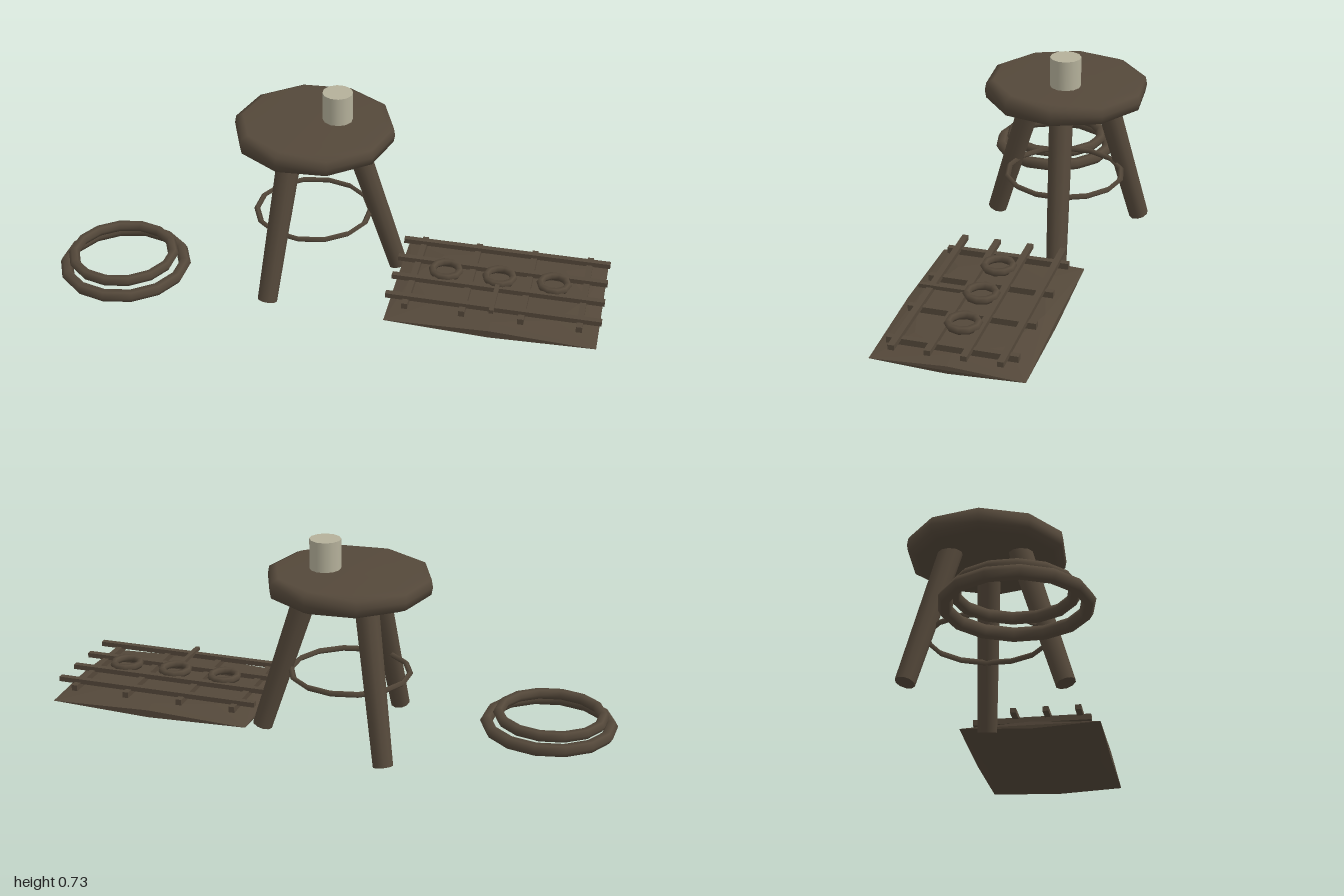
import * as THREE from 'three';
import { ConvexGeometry } from 'three/addons/geometries/ConvexGeometry.js';

const V = (x, y, z) => new THREE.Vector3(x, y, z);

export function createModel() {
  const root = new THREE.Group();
  const wood = new THREE.MeshStandardMaterial({ color: 0x54483a });
  wood.name = 'dark wood';
  const clay = new THREE.MeshStandardMaterial({ color: 0xb4b09a });
  clay.name = 'pale clay';

  function add(parent, name, geometry, material, x = 0, y = 0, z = 0) {
    const mesh = new THREE.Mesh(geometry, material);
    mesh.name = name;
    mesh.position.set(x, y, z);
    parent.add(mesh);
    return mesh;
  }

  // Horizontal ring with a low-sided section
  function ring(parent, name, radius, tube, sides, segments, x, y, z) {
    const geo = new THREE.TorusGeometry(radius, tube, sides, segments).rotateX(Math.PI / 2);
    return add(parent, name, geo, wood, x, y, z);
  }

  // Stool: thick round seat
  const stool = new THREE.Group();
  stool.name = 'stool';
  root.add(stool);
  const profile = [[0, 0.54], [0.255, 0.54], [0.288, 0.555], [0.293, 0.582],
    [0.288, 0.61], [0.262, 0.622], [0, 0.626]].map(([r, y]) => new THREE.Vector2(r, y));
  add(stool, 'seat', new THREE.LatheGeometry(profile, 10), wood, -0.15, 0, -0.098);

  // Splayed, tapered legs: [name, foot, top]
  const legs = [
    ['frontLeg', V(-0.185, 0.012, 0.213), V(-0.175, 0.56, 0.038)],
    ['rightLeg', V(-0.4, 0.012, -0.282), V(-0.268, 0.56, -0.183)],
    ['leftLeg', V(0.138, 0.012, -0.222), V(-0.02, 0.56, -0.15)],
  ];
  for (const [name, foot, top] of legs) {
    const axis = top.clone().sub(foot);
    const mid = foot.clone().add(top).multiplyScalar(0.5);
    const leg = add(stool, name, new THREE.CylinderGeometry(0.043, 0.036, axis.length(), 10), wood, mid.x, mid.y, mid.z);
    leg.quaternion.setFromUnitVectors(V(0, 1, 0), axis.normalize());
  }
  ring(stool, 'legHoop', 0.211, 0.011, 4, 14, -0.153, 0.242, -0.093);

  // Cup standing on the seat
  add(root, 'cup', new THREE.CylinderGeometry(0.055, 0.055, 0.107, 12), clay, -0.075, 0.6775, -0.135);

  // Two stacked hoops on the ground
  const hoops = new THREE.Group();
  hoops.name = 'hoops';
  root.add(hoops);
  ring(hoops, 'lowerHoop', 0.222, 0.023, 6, 14, -0.757, 0.04, 0.28);
  ring(hoops, 'upperHoop', 0.186, 0.02, 6, 14, -0.765, 0.078, 0.277);

  // Turned mat with a rack on it
  const mat = new THREE.Group();
  mat.name = 'matAndRack';
  mat.position.set(0.565, 0, -0.175);
  mat.rotation.y = 0.248;
  root.add(mat);

  // Pad: thick octagon thinning out to four pointed corners
  const points = [];
  for (const x of [-0.377, 0.377]) for (const z of [-0.26, 0.26]) points.push(V(x, 0.043, z));
  for (let i = 0; i < 8; i++) {
    const c = Math.cos(i * Math.PI / 4) * 0.375, s = Math.sin(i * Math.PI / 4) * 0.26;
    for (const [k, y] of [[1, 0.03], [1, 0.057], [0.85, 0.02], [0.85, 0.068]]) points.push(V(c * k, y, s * k));
  }
  add(mat, 'pad', new ConvexGeometry(points), wood);

  // Crossed bars
  for (const x of [-0.31, -0.105, 0.105, 0.31]) {
    add(mat, 'crossBar', new THREE.BoxGeometry(0.022, 0.022, 0.44), wood, x, 0.086, 0);
  }
  for (const z of [-0.18, -0.06, 0.06, 0.18]) {
    add(mat, 'longBar', new THREE.BoxGeometry(0.77, 0.018, 0.022), wood, 0, 0.101, z);
  }

  // Small rings in a row, the middle one with a handle
  for (const x of [-0.197, 0, 0.197]) ring(mat, 'smallRing', 0.05, 0.014, 6, 10, x, 0.113, 0);
  add(mat, 'handle', new THREE.BoxGeometry(0.016, 0.014, 0.165), wood, 0, 0.112, 0.137);

  return root;
}
